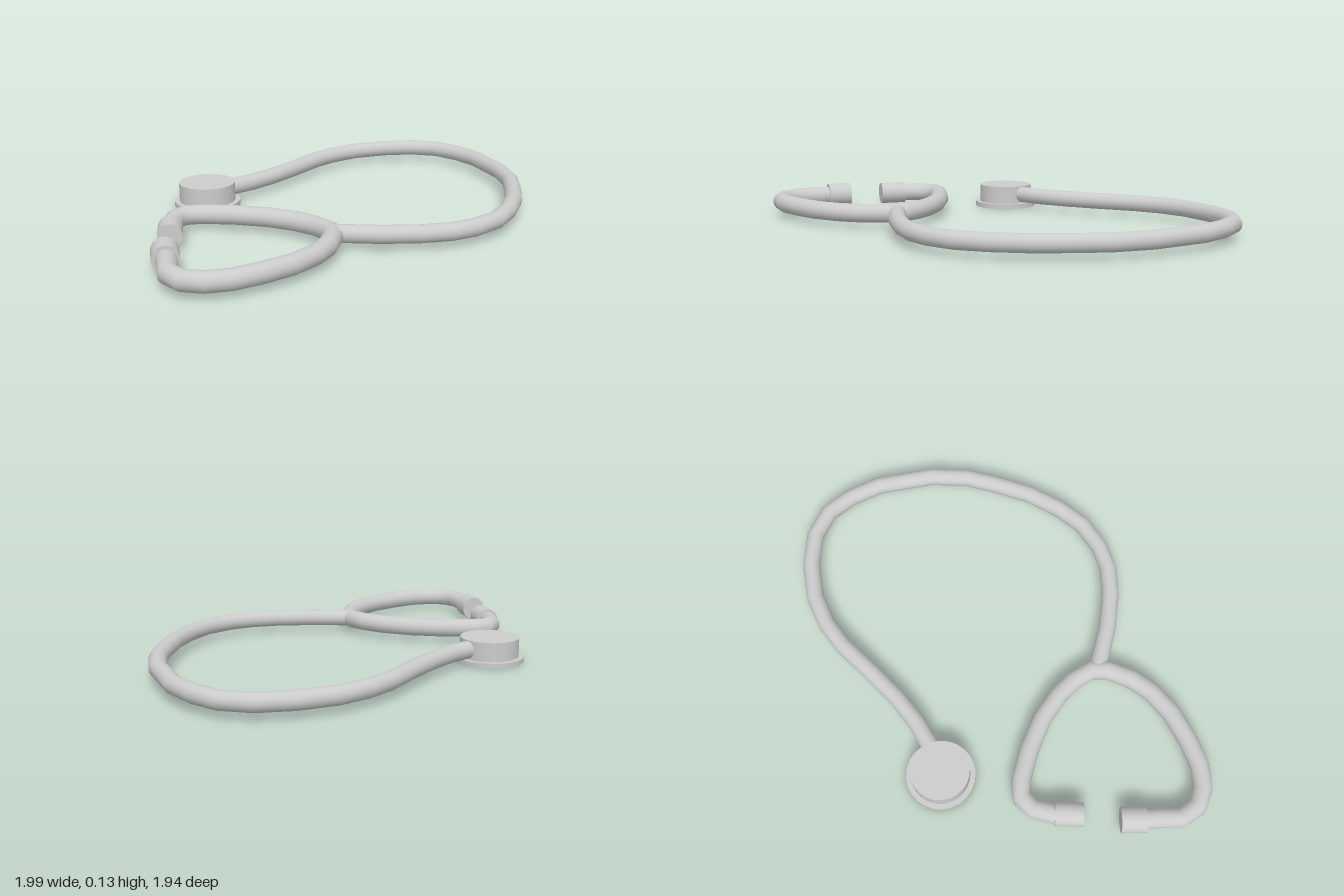
import * as THREE from 'three';

const Y = 0.073; // height of the tubing's centre line

export function createModel() {
  const model = new THREE.Group();
  const material = new THREE.MeshStandardMaterial({ color: 0xcccccc });

  function add(name, geometry, parent = model) {
    const mesh = new THREE.Mesh(geometry, material);
    mesh.name = name;
    parent.add(mesh);
    return mesh;
  }

  // Tube lying flat, with one ring at each [x, z] point
  function flatTube(name, points, radius) {
    const curve = new THREE.CatmullRomCurve3(points.map(([x, z]) => new THREE.Vector3(x, Y, z)));
    curve.getPointAt = curve.getPoint;
    curve.getTangentAt = curve.getTangent;
    return add(name, new THREE.TubeGeometry(curve, points.length - 1, radius, 16));
  }

  // Capped cylinder between two [x, z] points
  function earTip(name, from, to, radius) {
    const a = new THREE.Vector3(from[0], Y, from[1]);
    const b = new THREE.Vector3(to[0], Y, to[1]);
    const dir = b.clone().sub(a);
    const tip = add(name, new THREE.CylinderGeometry(radius, radius, dir.length(), 20));
    tip.position.copy(a).lerp(b, 0.5);
    tip.quaternion.setFromUnitVectors(new THREE.Vector3(0, 1, 0), dir.normalize());
  }

  // Long hose from the chest piece round to the fork
  flatTube('hose', [
    [-0.56, -0.345], [-0.5, -0.37], [-0.4, -0.42], [-0.27, -0.51], [-0.13, -0.63], [0.02, -0.77],
    [0.14, -0.85], [0.29, -0.91], [0.47, -0.93], [0.64, -0.91], [0.77, -0.84],
    [0.855, -0.72], [0.915, -0.57], [0.95, -0.29], [0.93, -0.1], [0.88, 0.05],
    [0.81, 0.22], [0.715, 0.37], [0.61, 0.485], [0.475, 0.56], [0.35, 0.59],
    [0.21, 0.585], [0.03, 0.55], [-0.18, 0.48],
  ], 0.043);

  // Both ear arms, joined at the fork
  flatTube('earArms', [
    [-0.89, 0.25], [-0.88, 0.2], [-0.855, 0.11], [-0.8, 0.06], [-0.72, 0.06], [-0.57, 0.11],
    [-0.42, 0.185], [-0.305, 0.275], [-0.235, 0.355], [-0.185, 0.45], [-0.19, 0.53],
    [-0.245, 0.645], [-0.32, 0.735], [-0.435, 0.82], [-0.57, 0.88], [-0.7, 0.92],
    [-0.81, 0.92], [-0.895, 0.88], [-0.94, 0.8], [-0.935, 0.69], [-0.935, 0.6],
  ], 0.047);

  earTip('backEarTip', [-0.882, 0.21], [-0.896, 0.343], 0.057);
  earTip('frontEarTip', [-0.938, 0.635], [-0.932, 0.515], 0.062);

  // Chest piece: drum on a wider, thin diaphragm rim
  const chestPiece = new THREE.Group();
  chestPiece.name = 'chestPiece';
  chestPiece.position.set(-0.65, 0, -0.32);
  model.add(chestPiece);
  add('diaphragmRim', new THREE.CylinderGeometry(0.168, 0.168, 0.026, 24), chestPiece).position.y = 0.013;
  add('drum', new THREE.CylinderGeometry(0.143, 0.143, 0.1, 24), chestPiece).position.y = 0.07;

  return model;
}
